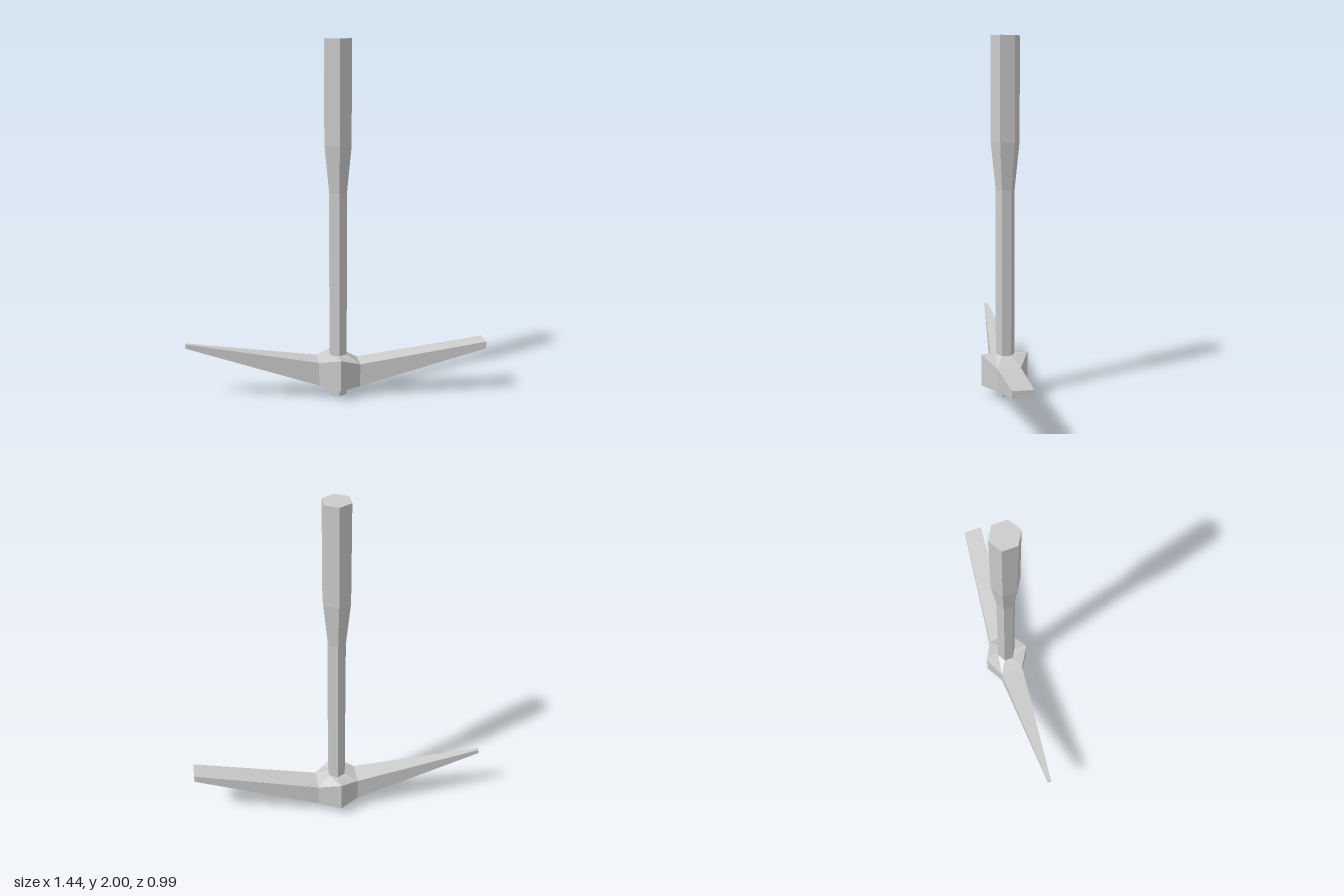
import * as THREE from 'three';

const material = new THREE.MeshStandardMaterial({ color: 0xcccccc, flatShading: true });
const CX = 0.005, CZ = -0.03, SHAFT = 0.053;

// Mesh from a list of four-cornered faces, each wound counter-clockwise from outside
function quadMesh(name, quads) {
  const pos = [];
  for (const [a, b, c, d] of quads) pos.push(...a, ...b, ...c, ...a, ...c, ...d);
  const geo = new THREE.BufferGeometry();
  geo.setAttribute('position', new THREE.Float32BufferAttribute(pos, 3));
  geo.computeVertexNormals();
  const mesh = new THREE.Mesh(geo, material);
  mesh.name = name;
  return mesh;
}

// Tapered arm growing from a root loop to a tip loop, closed at the tip
function arm(name, root, tip) {
  const quads = root.map((p, k) => {
    const n = (k + 1) % 4;
    return [p, root[n], tip[n], tip[k]];
  });
  return quadMesh(name, [...quads, tip]);
}

export function createModel() {
  const group = new THREE.Group();

  // Six-sided handle with a thicker grip
  const profile = [[0, 0], [SHAFT, 0], [SHAFT, 1.17], [0.08, 1.43], [0.08, 2], [0, 2]];
  const handle = new THREE.Mesh(
    new THREE.LatheGeometry(profile.map(p => new THREE.Vector2(...p)), 6, Math.PI / 2), material);
  handle.name = 'handle';
  handle.position.set(CX, 0, CZ);
  group.add(handle);

  // Hexagonal collar corners: x, z, bottom y, top y
  const corners = [
    [-0.06, -0.15, 0.075, 0.21], [0.063, -0.147, 0.06, 0.24],
    [0.14, -0.03, 0.06, 0.19], [0.075, 0.085, 0.06, 0.19],
    [-0.063, 0.085, 0.06, 0.24], [-0.127, -0.033, 0.075, 0.21],
  ];
  const low = corners.map(([x, z, y]) => [x, y, z]);
  const high = corners.map(([x, z, , y]) => [x, y, z]);
  const inner = (i, y) => {
    const a = (i - 2) * Math.PI / 3;
    return [CX + SHAFT * Math.cos(a), y, CZ + SHAFT * Math.sin(a)];
  };
  const side = i => {
    const j = (i + 1) % 6;
    return [low[j], low[i], high[i], high[j]];
  };

  // Collar, left open where the two arms join it
  const BLADE = 2, PICK = 5;
  const faces = [];
  for (let i = 0; i < 6; i++) {
    const j = (i + 1) % 6;
    faces.push([high[i], inner(i, 0.24), inner(j, 0.24), high[j]]);
    faces.push([low[i], low[j], inner(j, 0.043), inner(i, 0.043)]);
    if (i !== BLADE && i !== PICK) faces.push(side(i));
  }
  group.add(quadMesh('headCollar', faces));

  // Flat blade on one side, narrow pick on the other
  group.add(arm('blade', side(BLADE),
    [[0.665, 0.27, 0.493], [0.72, 0.27, 0.4], [0.72, 0.31, 0.4], [0.665, 0.31, 0.493]]));
  group.add(arm('pick', side(PICK),
    [[-0.712, 0.3, -0.497], [-0.722, 0.3, -0.48], [-0.722, 0.325, -0.48], [-0.712, 0.325, -0.497]]));

  return group;
}
